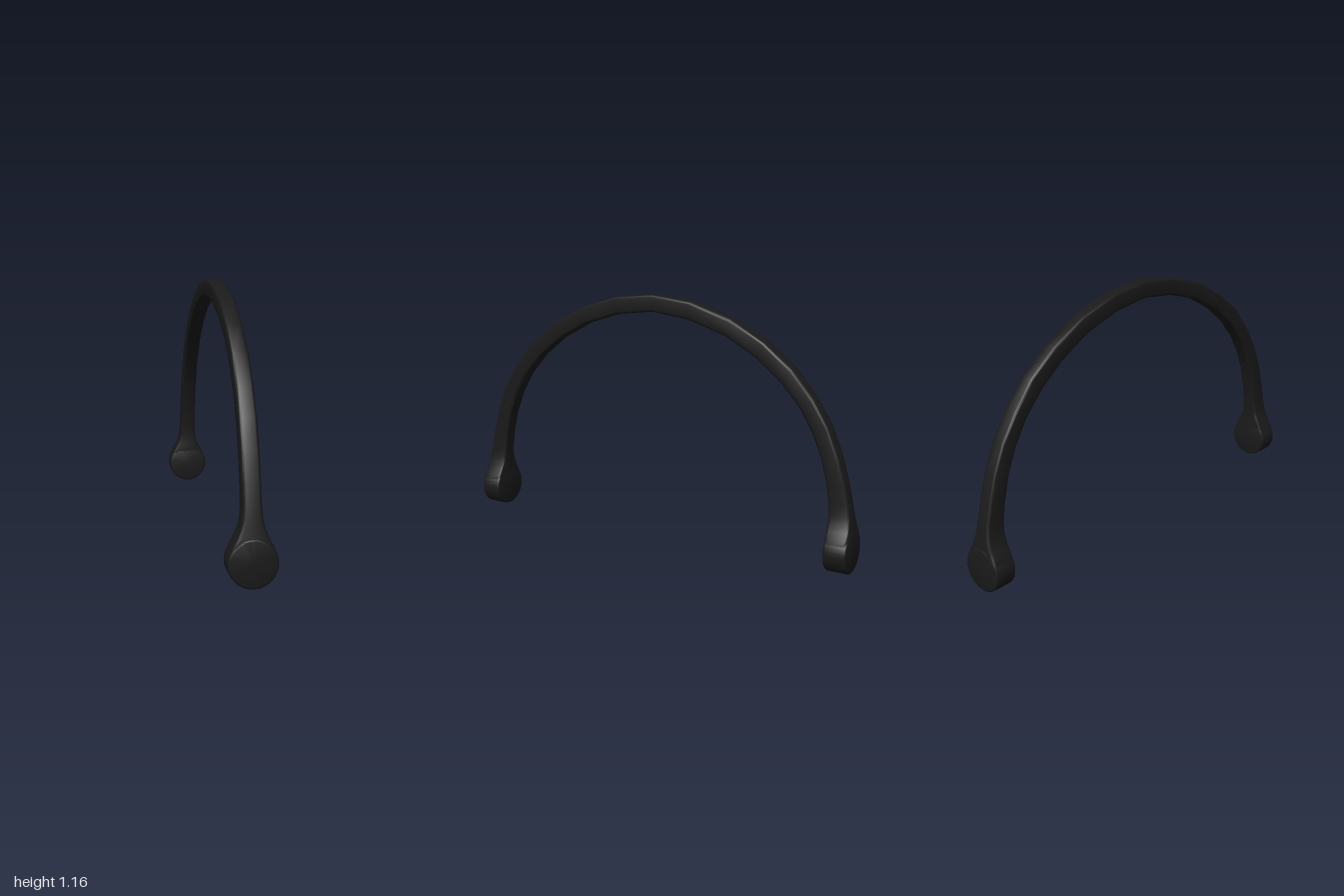
import * as THREE from 'three';
import { toCreasedNormals, mergeVertices } from 'three/addons/utils/BufferGeometryUtils.js';

// One half of the arch, foot to crown: outer z, outer y, inner z, inner y, half width
const HALF = [
  [0.996, 0.10, 0.895, 0.10, 0.097],
  [0.997, 0.14, 0.895, 0.14, 0.091],
  [0.998, 0.17, 0.894, 0.17, 0.079],
  [0.996, 0.20, 0.893, 0.20, 0.063],
  [0.992, 0.235, 0.893, 0.23, 0.049],
  [0.987, 0.27, 0.892, 0.26, 0.041],
  [0.978, 0.32, 0.888, 0.305, 0.037],
  [0.957, 0.41, 0.875, 0.39, 0.037],
  [0.925, 0.52, 0.848, 0.50, 0.037],
  [0.873, 0.645, 0.803, 0.61, 0.037],
  [0.80, 0.76, 0.74, 0.715, 0.037],
  [0.70, 0.88, 0.645, 0.82, 0.036],
  [0.565, 0.985, 0.525, 0.915, 0.036],
  [0.40, 1.075, 0.37, 1.00, 0.036],
  [0.20, 1.138, 0.185, 1.058, 0.036],
];
const CROWN = [0, 1.16, 0, 1.08, 0.036];

// Rounded rectangle, counterclockwise
function roundedSection(w, h, r) {
  const pts = [];
  [[1, 1], [-1, 1], [-1, -1], [1, -1]].forEach(([sx, sy], k) => {
    for (let i = 0; i <= 3; i++) {
      const a = (k + i / 3) * Math.PI / 2;
      pts.push([sx * (w - r) + r * Math.cos(a), sy * (h - r) + r * Math.sin(a)]);
    }
  });
  return pts;
}

function archGeometry() {
  const mirrored = HALF.map(([oz, oy, iz, iy, w]) => [-oz, oy, -iz, iy, w]).reverse();
  const stations = [...HALF, CROWN, ...mirrored];
  const pos = [], idx = [];
  let n = 0;
  for (const [oz, oy, iz, iy, w] of stations) {
    const h = Math.hypot(oz - iz, oy - iy) / 2;
    const nz = (oz - iz) / (2 * h), ny = (oy - iy) / (2 * h);
    const ring = roundedSection(w, h, 0.013);
    n = ring.length;
    for (const [u, v] of ring) pos.push(u, (oy + iy) / 2 + v * ny, (oz + iz) / 2 + v * nz);
  }
  for (let i = 0; i < stations.length - 1; i++) {
    for (let j = 0; j < n; j++) {
      const a = i * n + j, b = i * n + (j + 1) % n;
      idx.push(a, a + n, b, b, a + n, b + n);
    }
  }
  const geo = new THREE.BufferGeometry();
  geo.setAttribute('position', new THREE.Float32BufferAttribute(pos, 3));
  geo.setIndex(idx);
  return toCreasedNormals(geo, 0.6);
}

// Round foot: a disc with softened rims
function footGeometry() {
  const R = 0.1, h = 0.0525, r = 0.01;
  const profile = [new THREE.Vector2(0, -h)];
  for (const s of [-1, 1]) {
    for (let i = 0; i <= 3; i++) {
      const a = (s < 0 ? i / 3 - 1 : i / 3) * Math.PI / 2;
      profile.push(new THREE.Vector2(R - r + r * Math.cos(a), s * (h - r) + r * Math.sin(a)));
    }
  }
  profile.push(new THREE.Vector2(0, h));
  const geo = new THREE.LatheGeometry(profile, 40);
  geo.rotateX(Math.PI / 2);
  geo.deleteAttribute('uv');
  geo.deleteAttribute('normal');
  return toCreasedNormals(mergeVertices(geo), 0.6);
}

export function createModel() {
  const group = new THREE.Group();
  group.name = 'archedHandle';
  const black = new THREE.MeshStandardMaterial({ color: 0x1a1a1a });

  const arch = new THREE.Mesh(archGeometry(), black);
  arch.name = 'arch';
  group.add(arch);

  const footGeo = footGeometry();
  for (const s of [1, -1]) {
    const foot = new THREE.Mesh(footGeo, black);
    foot.name = s > 0 ? 'frontFoot' : 'backFoot';
    foot.position.set(0, 0.1, s * 0.9465);
    group.add(foot);
  }
  return group;
}
